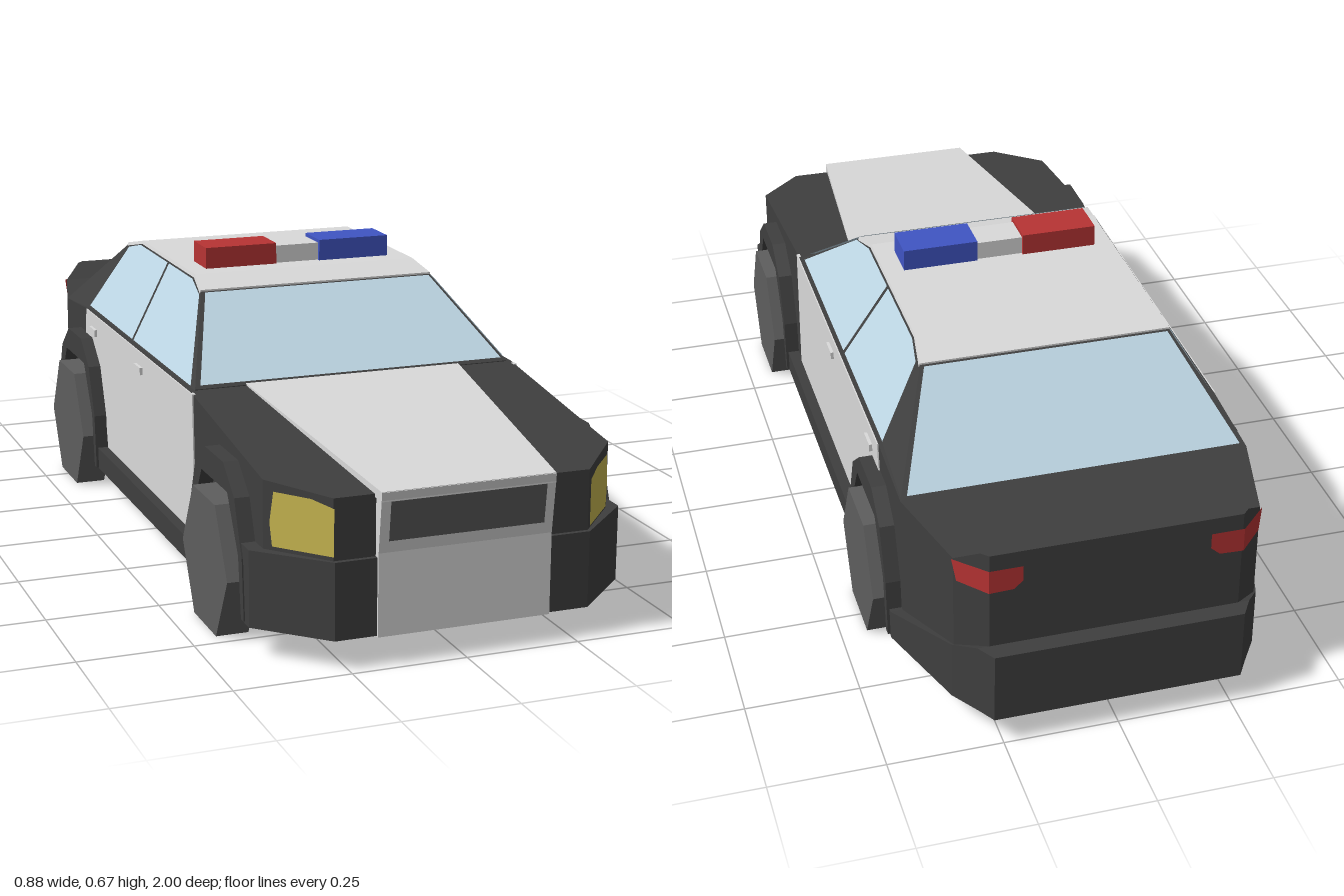
import * as THREE from 'three';

const mat = (name, color, side = THREE.FrontSide) => {
  const m = new THREE.MeshStandardMaterial({ color, side, flatShading: true });
  m.name = name;
  return m;
};

export function createModel() {
  const car = new THREE.Group();
  car.name = 'patrolCar';
  const black = mat('blackPaint', 0x3f3f3f);
  const white = mat('whitePaint', 0xdadada, THREE.DoubleSide);
  const glass = mat('glass', 0xbdd6e4, THREE.DoubleSide);
  const grey = mat('wheelGrey', 0x5e5e5e, THREE.DoubleSide);
  const red = mat('redLamp', 0xb83434, THREE.DoubleSide);
  const blue = mat('blueLamp', 0x4055c4);
  const yellow = mat('headlampYellow', 0xc8b650, THREE.DoubleSide);

  const add = (name, geometry, material) => {
    const mesh = new THREE.Mesh(geometry, material);
    mesh.name = name;
    car.add(mesh);
    return mesh;
  };
  const geo = (tris) => {
    const g = new THREE.BufferGeometry();
    g.setAttribute('position', new THREE.Float32BufferAttribute(tris.flat(), 3));
    g.computeVertexNormals();
    return g;
  };
  // Trapezoid sections, front to back: [z, bottom half width, bottom y, top half width, top y]
  const loft = (stations) => {
    const s = stations.map(([z, wb, yb, wt, yt]) =>
      [[-wb, yb, z], [wb, yb, z], [wt, yt, z], [-wt, yt, z]]);
    const t = [];
    for (let i = 0; i < s.length - 1; i++) {
      const a = s[i], b = s[i + 1];
      for (let j = 0; j < 4; j++) {
        const k = (j + 1) % 4;
        t.push(a[j], b[j], a[k], b[j], b[k], a[k]);
      }
    }
    const f = s[0], r = s[s.length - 1];
    t.push(f[0], f[1], f[2], f[0], f[2], f[3], r[0], r[2], r[1], r[0], r[3], r[2]);
    return geo(t);
  };
  // Flat convex panel from its outline
  const panel = (p) => {
    const t = [];
    for (let i = 1; i < p.length - 1; i++) t.push(p[0], p[i], p[i + 1]);
    return geo(t);
  };
  // Side outline in (z, y), extruded across x from x0 to x1
  const sideSlab = (pts, x0, x1) => {
    const shape = new THREE.Shape(pts.map(([z, y]) => new THREE.Vector2(z, y)));
    return new THREE.ExtrudeGeometry(shape, { depth: x1 - x0, bevelEnabled: false })
      .rotateY(-Math.PI / 2).translate(x1, 0, 0);
  };
  const bothSides = (name, pts, x0, x1, material) => {
    add('left' + name, sideSlab(pts, x0, x1), material);
    add('right' + name, sideSlab(pts, -x1, -x0), material);
  };
  const box = (name, x0, x1, y0, y1, z0, z1, material) =>
    add(name, new THREE.BoxGeometry(x1 - x0, y1 - y0, z1 - z0)
      .translate((x0 + x1) / 2, (y0 + y1) / 2, (z0 + z1) / 2), material);

  // Main body with the raised lip at the tail
  add('body', loft([
    [0.97, 0.28, 0.07, 0.28, 0.36], [0.85, 0.385, 0.07, 0.385, 0.375],
    [0.37, 0.385, 0.07, 0.385, 0.437], [-0.48, 0.385, 0.07, 0.385, 0.435],
    [-0.68, 0.385, 0.07, 0.385, 0.42], [-0.9, 0.33, 0.07, 0.33, 0.42],
    [-0.945, 0.285, 0.07, 0.285, 0.455], [-0.96, 0.27, 0.07, 0.27, 0.455],
  ]), black);

  // Bumpers and sills
  add('frontBumper', loft([
    [0.98, 0.28, 0.065, 0.28, 0.23], [0.85, 0.415, 0.065, 0.415, 0.23],
    [0.8, 0.415, 0.065, 0.415, 0.23],
  ]), black);
  add('rearBumper', loft([
    [-0.65, 0.412, 0.065, 0.412, 0.13], [-0.68, 0.412, 0.065, 0.412, 0.135],
    [-0.9, 0.335, 0.065, 0.335, 0.2],
    [-0.96, 0.295, 0.065, 0.295, 0.228], [-1, 0.27, 0.065, 0.27, 0.228],
  ]), black);
  box('sills', -0.412, 0.412, 0.068, 0.12, -0.32, 0.47, black);

  // White hood and nose
  add('hood', loft([
    [0.998, 0.19, 0.35, 0.19, 0.371], [0.37, 0.255, 0.42, 0.255, 0.441],
  ]), white);
  add('nose', sideSlab([[0.9, 0.063], [0.985, 0.063], [0.985, 0.24], [1, 0.37], [0.9, 0.37]],
    -0.19, 0.19), white);
  const noseZ = (y) => 0.987 + (y - 0.24) * 0.115;
  add('grille', panel([[-0.17, 0.265], [0.17, 0.265], [0.17, 0.35], [-0.17, 0.35]]
    .map(([x, y]) => [x, y, noseZ(y)])), grey);

  // Cabin: black shell, white roof, glass front and rear
  const roofLine = [[0.14, 0.282, 0.6], [0.06, 0.27, 0.62], [-0.36, 0.27, 0.62], [-0.45, 0.282, 0.6]];
  add('cabin', loft([
    [0.375, 0.385, 0.42, 0.373, 0.438],
    ...roofLine.map(([z, w, y]) => [z, 0.385, 0.42, w, y]),
    [-0.68, 0.385, 0.415, 0.385, 0.42],
  ]), black);
  add('roof', loft(roofLine.map(([z, w, y]) => [z, w + 0.003, y - 0.004, w + 0.001, y + 0.004])), white);
  add('windshield', panel([
    [-0.36, 0.446, 0.373], [0.36, 0.446, 0.373], [0.275, 0.6, 0.15], [-0.275, 0.6, 0.15]]), glass);
  add('rearWindow', panel([
    [0.37, 0.429, -0.678], [-0.37, 0.429, -0.678], [-0.275, 0.6, -0.458], [0.275, 0.6, -0.458]]), glass);

  for (const [side, s] of [['left', 1], ['right', -1]]) {
    // Side windows lie on the sloping cabin side, parted by a thin pillar
    const onCabin = ([z, y]) => [s * (0.3895 - 0.58 * (y - 0.42)), y, z];
    add(side + 'FrontWindow', panel([[0.355, 0.442], [0.145, 0.595], [0.06, 0.614],
      [-0.122, 0.614], [-0.092, 0.442]].map(onCabin)), glass);
    add(side + 'RearWindow', panel([[-0.104, 0.442], [-0.134, 0.614], [-0.36, 0.614],
      [-0.43, 0.597], [-0.483, 0.442]].map(onCabin)), glass);

    // Headlamp on the chamfered corner
    add(side + 'Headlamp', panel([[0.278, 0.24], [0.37, 0.24], [0.374, 0.29], [0.368, 0.355],
      [0.312, 0.353], [0.278, 0.34]]
      .map(([x, y]) => [s * (x + 0.003), y, 0.974 - (x - 0.28) * 1.143])), yellow);

    // Tail lamp wraps round the rear corner
    add(side + 'TailLampBack', panel([[0.2, 0.385], [0.22, 0.367], [0.272, 0.365], [0.272, 0.42], [0.2, 0.42]]
      .map(([x, y]) => [s * x, y, -0.964])), red);
    add(side + 'TailLampSide', panel([[0.272, 0.365, -0.964], [0.326, 0.37, -0.91],
      [0.334, 0.42, -0.902], [0.272, 0.42, -0.964]].map(([x, y, z]) => [s * x, y, z])), red);
  }

  // Doors and handles
  bothSides('Doors', [[0.41, 0.12], [0.4, 0.435], [-0.48, 0.435], [-0.49, 0.36], [-0.46, 0.335],
    [-0.36, 0.27], [-0.315, 0.2], [-0.3, 0.12]], 0.38, 0.388, white);
  for (const z of [-0.005, -0.405]) {
    bothSides('DoorHandle', [[z - 0.025, 0.385], [z + 0.025, 0.385], [z + 0.025, 0.402], [z - 0.025, 0.402]],
      0.385, 0.395, white);
  }

  // Wheels and arches
  const outer = [[0.185, 0.07], [0.175, 0.2], [0.13, 0.315], [0.06, 0.372]];
  const inner = [[0.168, 0.07], [0.152, 0.2], [0.085, 0.315]];
  const flip = (pts) => pts.map(([z, y]) => [-z, y]).reverse();
  const arch = [...outer, ...flip(outer), ...flip(inner).reverse(), ...[...inner].reverse()];
  for (const [end, z] of [['Front', 0.64], ['Rear', -0.487]]) {
    bothSides(end + 'Arch', arch.map(([dz, y]) => [z + dz, y]), 0.37, 0.418, black);
    const hexagon = [[0.15, 0.143], [0.074, 0.286], [-0.074, 0.286], [-0.15, 0.143], [-0.074, 0], [0.074, 0]];
    bothSides(end + 'Wheel', hexagon.map(([dz, y]) => [z + dz, y]), 0.37, 0.441, grey);
  }

  // Roof light bar
  box('redBeacon', -0.228, -0.055, 0.618, 0.673, -0.08, 0.013, red);
  box('blueBeacon', 0.053, 0.226, 0.618, 0.673, -0.08, 0.013, blue);
  box('beaconBar', -0.056, 0.054, 0.618, 0.665, -0.073, 0.004, white);

  return car;
}
